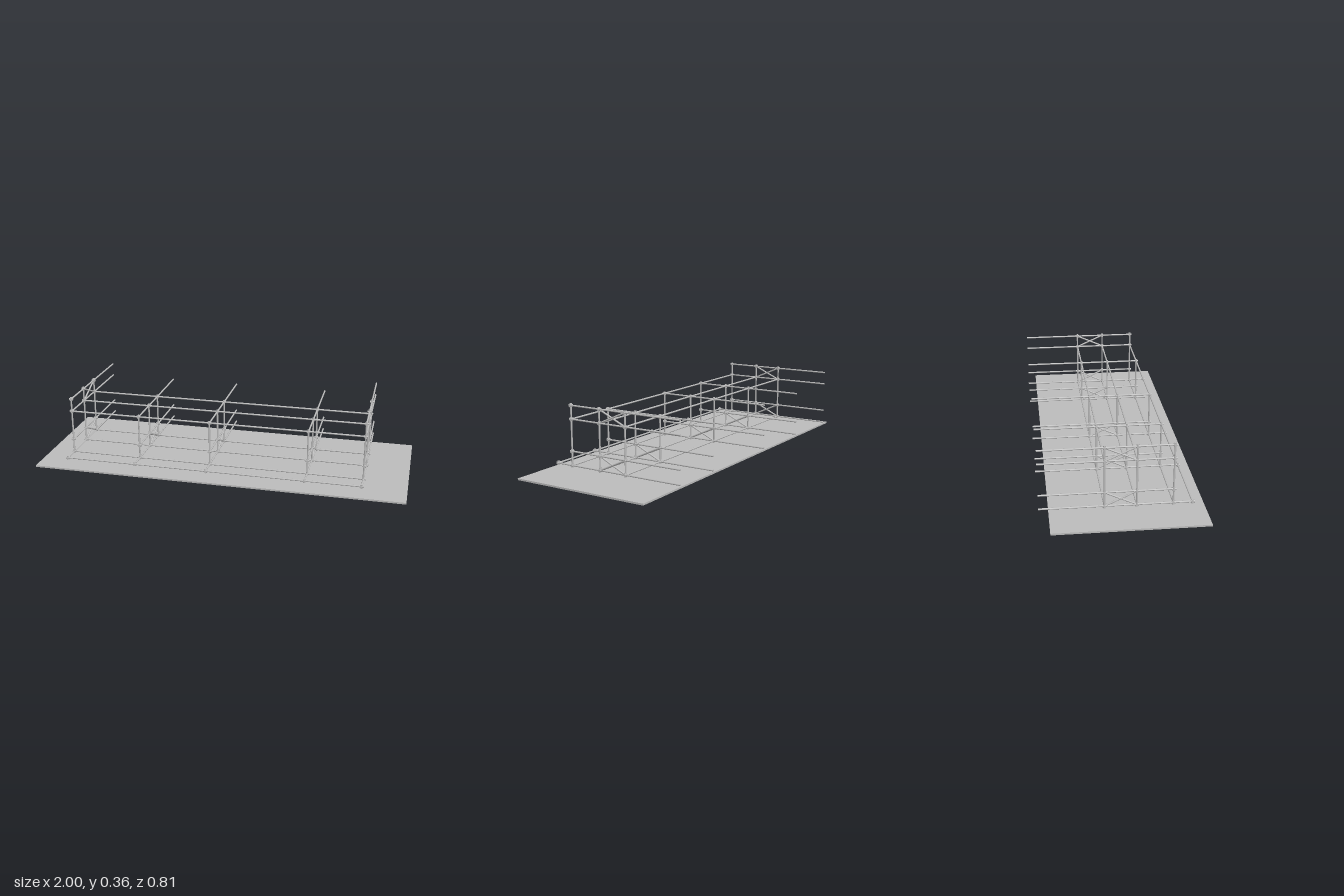
import * as THREE from 'three';

export function createModel() {
  const model = new THREE.Group();
  const steel = new THREE.MeshStandardMaterial({ color: 0xbcbcbc });
  steel.name = 'light grey steel';

  const pipeR = 0.0045, collarR = 0.0062;
  const frameX = [-0.835, -0.45, -0.055, 0.475, 0.77];
  const postZ = [0.245, 0.068, -0.088];
  const frontZ = 0.338, backZ = -0.405;
  const level = { base: 0.045, low: 0.118, deck: 0.283, top: 0.353 };
  const up = new THREE.Vector3(0, 1, 0);

  // Round bar between two points
  function pipe(name, a, b, radius = pipeR, parent = model) {
    const start = new THREE.Vector3(...a), end = new THREE.Vector3(...b);
    const dir = end.clone().sub(start);
    const mesh = new THREE.Mesh(new THREE.CylinderGeometry(radius, radius, dir.length(), 12), steel);
    mesh.position.copy(start).add(end).multiplyScalar(0.5);
    mesh.quaternion.setFromUnitVectors(up, dir.normalize());
    mesh.name = name;
    parent.add(mesh);
  }

  // Cross fitting with a short sleeve along each axis
  function joint(x, y, z, parent) {
    const h = 0.0105;
    pipe('jointSleeve', [x, y - h, z], [x, y + h, z], collarR, parent);
    pipe('jointSleeve', [x, y, z - h], [x, y, z + h], collarR, parent);
    pipe('jointSleeve', [x - h, y, z], [x + h, y, z], collarR, parent);
  }

  // Ground slab
  const slab = new THREE.Mesh(new THREE.BoxGeometry(2, 0.009, 0.758), steel);
  slab.position.set(0, 0.0045, 0.024);
  slab.name = 'baseSlab';
  model.add(slab);

  // Cross frames: posts, rearward rails, braces and fittings
  frameX.forEach((x, i) => {
    const frame = new THREE.Group();
    frame.name = 'crossFrame';
    model.add(frame);
    const isEnd = i === 0 || i === frameX.length - 1;
    const heights = [level.base, level.low, level.deck];
    if (isEnd) heights.push(level.top);
    const postTop = heights[heights.length - 1];

    for (const z of postZ) {
      pipe('post', [x, level.base - 0.01, z], [x, postTop + 0.01, z], pipeR, frame);
      for (const y of heights) joint(x, y, z, frame);
    }
    for (const y of heights) {
      const z0 = (y === level.base ? frontZ : postZ[0]) + 0.01;
      pipe('crossRail', [x, y, z0], [x, y, backZ], pipeR, frame);
    }
    joint(x, level.base, frontZ, frame);

    // Diagonal braces in the rear bay
    const bays = [[level.base, level.low]];
    if (isEnd) bays.push([level.deck, level.top]);
    for (const [y0, y1] of bays) {
      pipe('brace', [x, y0, postZ[1]], [x, y1, postZ[2]], pipeR, frame);
      pipe('brace', [x, y1, postZ[1]], [x, y0, postZ[2]], pipeR, frame);
    }
  });

  // Long rails joining the frames
  const x0 = frameX[0], x1 = frameX[frameX.length - 1];
  for (const z of [frontZ, ...postZ]) {
    pipe('longRail', [x0, level.base, z], [x1, level.base, z]);
    if (z !== frontZ) pipe('longRail', [x0, level.deck, z], [x1, level.deck, z]);
  }
  return model;
}
